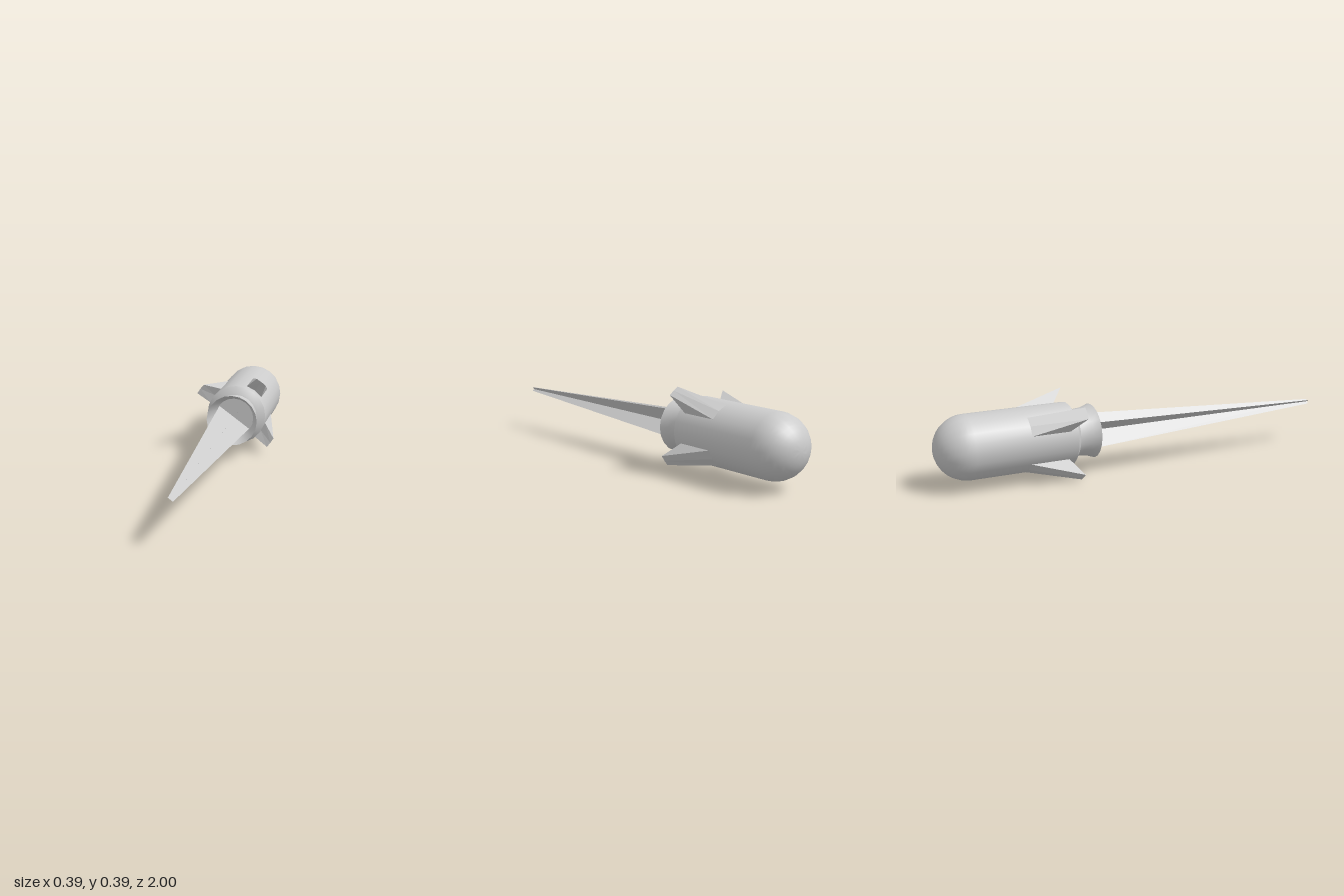
import * as THREE from 'three';
import { toCreasedNormals } from 'three/addons/utils/BufferGeometryUtils.js';

const SIDES = 20;
const R = 0.149;            // body radius
const FIN_ANGLE = 0.3 * Math.PI; // first fin sits on a body edge at 54 degrees

const material = new THREE.MeshStandardMaterial({ color: 0xcccccc });
const thinMaterial = new THREE.MeshStandardMaterial({ color: 0xcccccc, side: THREE.DoubleSide });

// Solid turned around the z axis from [radius, z] pairs, back to front
function turned(name, profile) {
  const points = profile.map(([r, z]) => new THREE.Vector2(r, z));
  const geometry = new THREE.LatheGeometry(points, SIDES);
  geometry.rotateX(Math.PI / 2);
  const mesh = new THREE.Mesh(toCreasedNormals(geometry, THREE.MathUtils.degToRad(28)), material);
  mesh.name = name;
  return mesh;
}

// Wedge fin: curved root strip on the body, rising to a narrow forward tip
function finGeometry() {
  const step = (2 * Math.PI) / SIDES;
  const row = (r, z, spread) => [-1, 0, 1].map((i) =>
    new THREE.Vector3(r * Math.cos(i * spread), r * Math.sin(i * spread), z));
  const rows = [row(R, -0.59, step), row(0.224, -0.34, 0.128), row(R, -0.405, step)];
  const corners = [];
  for (let j = 0; j < 2; j++) {
    for (let i = 0; i < 2; i++) {
      const a = rows[j][i], b = rows[j][i + 1], c = rows[j + 1][i + 1], d = rows[j + 1][i];
      corners.push(a, b, c, a, c, d);
    }
  }
  corners.push(rows[0][0], rows[1][0], rows[2][0]);
  corners.push(rows[0][2], rows[2][2], rows[1][2]);
  const geometry = new THREE.BufferGeometry().setFromPoints(corners);
  geometry.computeVertexNormals();
  return geometry;
}

// Long tapered flat blade lying along z
function bladeGeometry() {
  const back = -0.31, front = 1, wide = 0.094, narrow = 0.013;
  const shape = new THREE.Shape([
    new THREE.Vector2(-wide, back), new THREE.Vector2(wide, back),
    new THREE.Vector2(narrow, front), new THREE.Vector2(-narrow, front),
  ]);
  return new THREE.ShapeGeometry(shape).rotateX(Math.PI / 2);
}

export function createModel() {
  const model = new THREE.Group();
  model.name = 'rocket';

  // Everything shares one axis, tipped up very slightly at the front
  const axis = new THREE.Group();
  axis.name = 'rocketAxis';
  axis.rotation.x = -0.0095;
  axis.position.y = 0.2;
  model.add(axis);

  // Round-nosed body with a bevelled front shoulder
  const body = [];
  for (let i = 0; i <= 10; i++) {
    const t = (i / 10) * Math.PI / 2;
    body.push([R * Math.sin(t), -1 + R - R * Math.cos(t)]);
  }
  body.push([R, -0.365], [0.118, -0.342], [0.1, -0.335]);
  axis.add(turned('body', body));

  // Flared nozzle with a hollow mouth and a flat floor
  axis.add(turned('nozzle', [
    [0.11, -0.345], [0.11, -0.315], [0.114, -0.275], [0.127, -0.24],
    [0.097, -0.31], [0, -0.31],
  ]));

  // Four fins
  const fin = finGeometry();
  for (let i = 0; i < 4; i++) {
    const mesh = new THREE.Mesh(fin, material);
    mesh.name = 'fin' + (i + 1);
    mesh.rotation.z = FIN_ANGLE + (i * Math.PI) / 2;
    axis.add(mesh);
  }

  // Exhaust flame made of two crossed blades
  const flame = new THREE.Group();
  flame.name = 'flame';
  const blade = bladeGeometry();
  for (let i = 0; i < 2; i++) {
    const mesh = new THREE.Mesh(blade, thinMaterial);
    mesh.name = 'flameBlade' + (i + 1);
    mesh.rotation.z = FIN_ANGLE + (i * Math.PI) / 2;
    flame.add(mesh);
  }
  axis.add(flame);

  return model;
}
